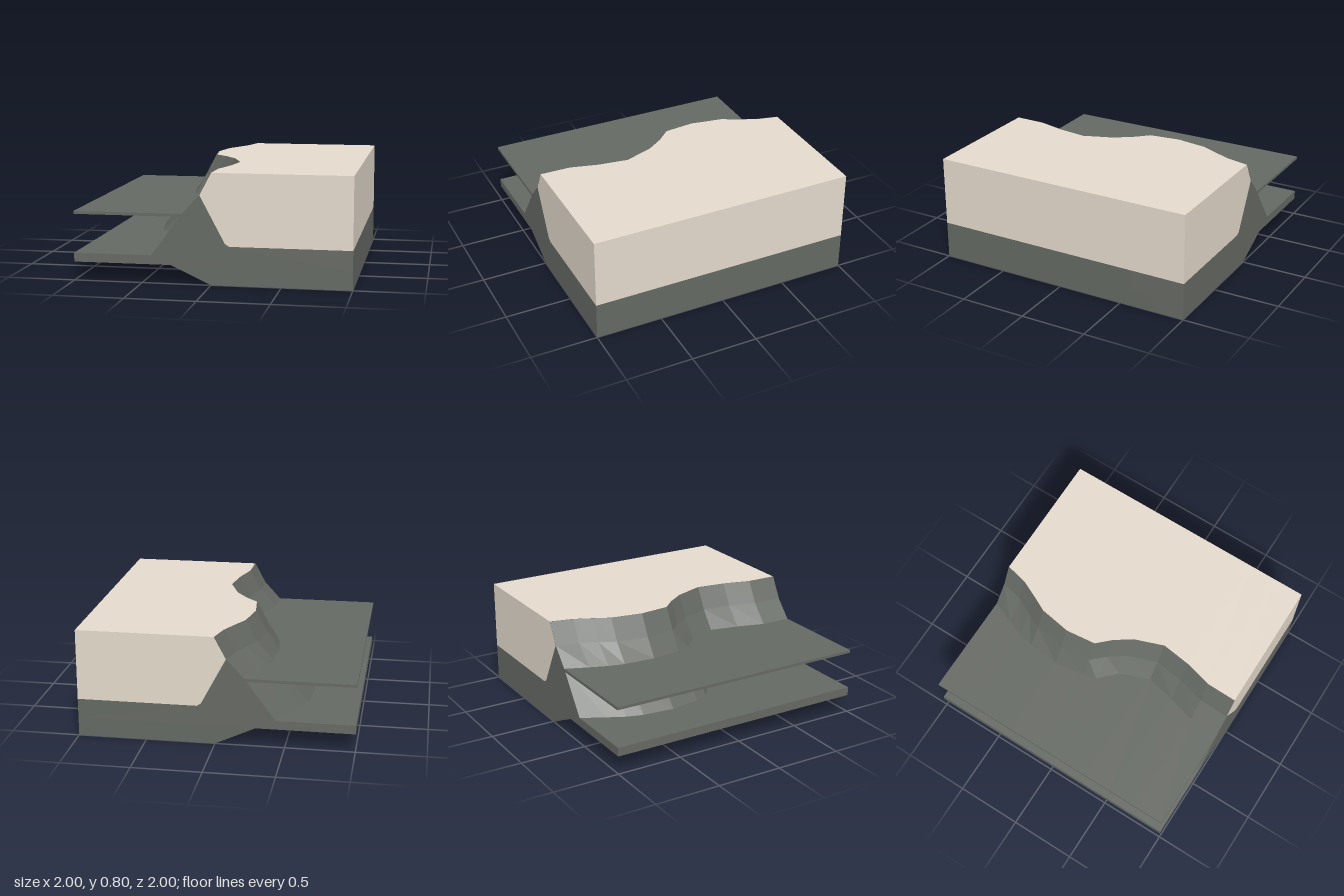
import * as THREE from 'three';

// Cross-sections along z: [z, cliff top edge x, waterline x]
const stations = [
  [-1, 0, -0.21], [-0.83, -0.04, -0.28], [-0.7, -0.1, -0.33], [-0.58, -0.16, -0.358],
  [-0.34, -0.2, -0.375], [-0.11, -0.175, -0.345], [-0.01, -0.08, -0.315], [0.12, 0.01, -0.185],
  [0.34, 0.09, -0.1], [0.56, 0.06, -0.145], [0.77, 0.005, -0.205], [1, 0, -0.21],
];

// Joins counter-clockwise sections into a faceted solid; section edges listed in open are left out
function loft(name, material, section, open = []) {
  const rings = stations.map(([z, top, water]) =>
    section(top, water).map(([x, y]) => new THREE.Vector3(x, y, z)));
  const positions = [];
  const tri = (...corners) => corners.forEach((p) => positions.push(p.x, p.y, p.z));
  for (let k = 0; k < rings.length - 1; k++) {
    const r = rings[k], s = rings[k + 1];
    for (let i = 0; i < r.length; i++) {
      if (open.includes(i)) continue;
      const j = (i + 1) % r.length;
      tri(r[i], r[j], s[j]);
      tri(r[i], s[j], s[i]);
    }
  }
  // End caps
  const cap = (ring, flip) => {
    const flat = ring.map((p) => new THREE.Vector2(p.x, p.y));
    for (const [a, b, c] of THREE.ShapeUtils.triangulateShape(flat, [])) {
      if (flip) tri(ring[a], ring[c], ring[b]);
      else tri(ring[a], ring[b], ring[c]);
    }
  };
  cap(rings[0], true);
  cap(rings[rings.length - 1], false);
  const geometry = new THREE.BufferGeometry();
  geometry.setAttribute('position', new THREE.Float32BufferAttribute(positions, 3));
  geometry.computeVertexNormals();
  const mesh = new THREE.Mesh(geometry, material);
  mesh.name = name;
  return mesh;
}

export function createModel() {
  const rock = new THREE.MeshStandardMaterial({ color: 0x656963, side: THREE.DoubleSide });
  rock.name = 'dark grey rock';
  const soil = new THREE.MeshStandardMaterial({ color: 0xe4dacc });
  soil.name = 'pale sand';

  const skin = 0.004; // rock skin covering the upper cliff
  const under = 0.135; // height of the flat underside
  const lip = (top) => top - 0.085;
  const foot = (water) => water * 1.3 - 0.16;

  const model = new THREE.Group();
  model.name = 'coastalCliffTile';
  model.add(
    // Rock base with the cliff face and the low shelf
    loft('cliffRock', rock, (top, water) => [
      [1, under], [1, 0.28], [0.13, 0.28], [0.1, 0.3], [lip(top) + skin, 0.64], [top + skin, 0.8],
      [top, 0.8], [lip(top), 0.64], [water, 0.503], [foot(water), 0.2],
      [-1, 0.2], [-1, under],
    ]),
    // Skirt below the base, open underneath
    loft('baseSkirt', rock, (top) => [
      [top - 0.29, under], [top, 0], [1, 0], [1, under],
    ], [1, 3]),
    // Plateau layer filling the space behind the cliff
    loft('plateau', soil, (top) => [
      [1, 0.28], [1, 0.8], [top + skin, 0.8], [lip(top) + skin, 0.64], [0.1, 0.3], [0.13, 0.28],
    ]),
    // Thin sheet meeting the cliff at mid height
    loft('waterSheet', rock, (top, water) => [
      [-1, 0.482], [water + 0.01, 0.482], [water + 0.01, 0.503], [-1, 0.503],
    ]),
  );
  return model;
}
